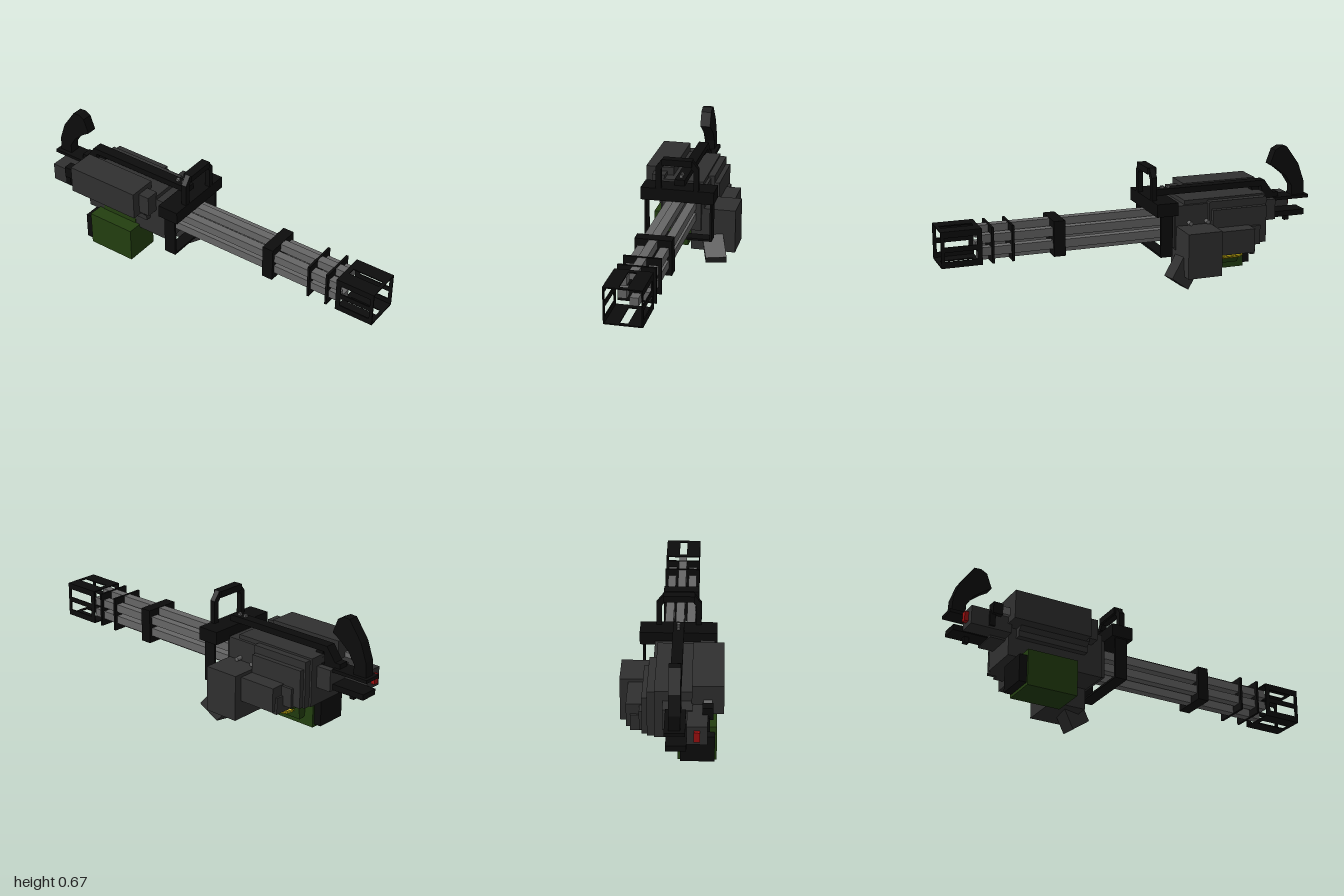
import * as THREE from 'three';
import { ConvexGeometry } from 'three/addons/geometries/ConvexGeometry.js';

const mat = (name, color) => {
  const m = new THREE.MeshStandardMaterial({ color });
  m.name = name;
  return m;
};

export function createModel() {
  const model = new THREE.Group();
  model.name = 'rotaryGun';
  const black = mat('black', 0x0c0c0c), grey = mat('dark grey', 0x303030);
  const steel = mat('steel', 0x666666), green = mat('green', 0x233f10);
  const brass = mat('brass', 0xd0b810), red = mat('red', 0xa01010);

  const add = (name, geo, m, parent = model) => {
    const mesh = new THREE.Mesh(geo, m);
    mesh.name = name;
    parent.add(mesh);
    return mesh;
  };
  // Box given by its extents on each axis
  const box = (name, m, x0, x1, y0, y1, z0, z1) => {
    const mesh = add(name, new THREE.BoxGeometry(x1 - x0, y1 - y0, z1 - z0), m);
    mesh.position.set((x0 + x1) / 2, (y0 + y1) / 2, (z0 + z1) / 2);
    return mesh;
  };
  const poly = (pts) => new THREE.Shape(pts.map(([x, y]) => new THREE.Vector2(x, y)));
  const extrude = (shape, depth) => new THREE.ExtrudeGeometry(shape, { depth, bevelEnabled: false });
  const rect = (a, b, c, d) => [[a, c], [b, c], [b, d], [a, d]];

  // Barrel cluster
  const cx = -0.031, cy = 0.313, s = 0.0215;
  [[0, 0.067], [0.056, 0.033], [0.056, -0.032], [0, -0.067], [-0.056, -0.032], [-0.056, 0.033]]
    .forEach(([x, y], i) => box('barrel' + (i + 1), steel,
      cx + x - s, cx + x + s, cy + y - s, cy + y + s, -0.22, 0.8));
  [[0.37, 0.43], [0.632, 0.644], [0.735, 0.747]].forEach(([a, b], i) =>
    box('barrelClamp' + (i + 1), black, cx - 0.093, cx + 0.093, cy - 0.091, cy + 0.091, a, b));

  // Muzzle cage: four thin slotted plates, drawn as (width, z)
  const cagePlate = (half, slots) => {
    const shape = poly(rect(-half, half, 0.795, 1));
    slots.forEach(([a, b]) => shape.holes.push(poly(rect(a, b, 0.82, 0.982))));
    return extrude(shape, 0.006).rotateX(Math.PI / 2);
  };
  for (const side of [-1, 1]) {
    const flat = add('cagePlate', cagePlate(0.093, [[-0.02, 0.02]]), black);
    flat.position.set(cx, cy + side * 0.089 + 0.003, 0);
    const wall = add('cageWall', cagePlate(0.09, [[-0.06, -0.013], [0.013, 0.06]]), black);
    wall.rotation.z = Math.PI / 2;
    wall.position.set(cx + side * 0.09 - 0.003, cy, 0);
  }

  // Front guard frame and carry handle
  box('guardBeam', black, -0.223, 0.162, 0.4, 0.467, -0.195, -0.08);
  box('guardPost', black, -0.21, -0.198, 0.184, 0.4, -0.17, -0.105);
  box('guardPost', black, 0.137, 0.148, 0.184, 0.4, -0.17, -0.105);
  box('guardBottom', black, -0.21, 0.148, 0.184, 0.195, -0.17, -0.105);
  const handle = poly([[-0.143, 0.46], [-0.115, 0.46], [-0.115, 0.572], [-0.098, 0.595], [0.038, 0.595],
    [0.055, 0.572], [0.055, 0.46], [0.082, 0.46], [0.082, 0.585], [0.047, 0.63], [-0.108, 0.63], [-0.143, 0.585]]);
  add('carryHandle', extrude(handle, 0.028), black).position.z = -0.109;
  box('handleBar', black, -0.108, 0.047, 0.597, 0.63, -0.12, -0.072);

  // Receiver
  box('barrelMount', grey, -0.135, 0.073, 0.205, 0.405, -0.25, -0.19);
  box('receiverFront', grey, -0.147, 0.085, 0.197, 0.428, -0.4, -0.21);
  box('receiverRear', grey, -0.147, 0.07, 0.2, 0.45, -0.72, -0.265);
  box('receiverSide', grey, 0.06, 0.105, 0.2, 0.44, -0.71, -0.39);
  box('receiverStep', grey, 0.06, 0.13, 0.205, 0.4, -0.7, -0.4);
  box('sideCap', grey, 0.06, 0.145, 0.2, 0.3, -0.66, -0.5);
  const wedge = poly([[-0.108, 0.4], [0.047, 0.4], [0.037, 0.42], [-0.098, 0.42]]);
  add('mountWedge', extrude(wedge, 0.06), grey).position.z = -0.24;
  for (const z of [-0.285, -0.38]) {
    const stud = add('sideStud', new THREE.CylinderGeometry(0.011, 0.011, 0.04, 8).rotateZ(Math.PI / 2), steel);
    stud.position.set(0.095, 0.336, z);
  }

  // Motor housing with rear stem and lever
  box('motorHousing', grey, -0.255, -0.105, 0.345, 0.493, -0.74, -0.33);
  box('motorFront', grey, -0.21, -0.14, 0.36, 0.47, -0.34, -0.27);
  const gusset = poly([[-0.2, 0.4], [-0.2, 0.345], [-0.178, 0.325], [-0.178, 0.295], [-0.14, 0.295], [-0.14, 0.4]]);
  add('motorGusset', extrude(gusset, 0.37), grey).position.z = -0.68;
  box('leverStem', steel, -0.2, -0.16, 0.38, 0.42, -0.785, -0.73);
  box('leverKnob', black, -0.205, -0.155, 0.37, 0.43, -0.83, -0.78);
  box('lever', black, -0.19, -0.17, 0.31, 0.385, -0.84, -0.81);

  // Feed block, feed cover and ejection chute
  box('feedBlock', grey, 0.015, 0.252, 0.087, 0.322, -0.4, -0.215);
  box('feedCover', grey, 0.05, 0.21, 0.18, 0.305, -0.6, -0.4);
  box('feedWall', grey, 0.05, 0.19, 0.165, 0.25, -0.61, -0.585);
  const end = [[0.11, 0.075, -0.14], [0.222, 0.09, -0.14], [0.203, 0.017, -0.235], [0.09, 0.002, -0.24]]
    .map((p) => new THREE.Vector3(...p));
  const back = end.map((p) => p.clone().add(new THREE.Vector3(-0.04, 0.11, -0.085)));
  add('ejectionChute', new ConvexGeometry([...end, ...back]), grey);

  // Ammunition box, belt chute and belt
  box('ammoBox', green, -0.225, -0.038, 0.03, 0.215, -0.65, -0.385);
  box('ammoLid', green, -0.15, -0.05, 0.2, 0.25, -0.62, -0.41);
  box('ammoPad', black, -0.215, -0.05, 0.045, 0.185, -0.69, -0.65);
  const chute = box('beltChute', green, -0.055, 0.008, 0.075, 0.175, -0.6, -0.4);
  chute.rotation.z = -0.15;
  box('chuteNeck', green, -0.02, 0.06, 0.145, 0.18, -0.6, -0.4);
  const belt = new THREE.QuadraticBezierCurve3(new THREE.Vector3(0.005, 0.118, 0),
    new THREE.Vector3(0.09, 0.108, 0), new THREE.Vector3(0.15, 0.18, 0));
  for (let i = 0; i < 9; i++) {
    const round = new THREE.Group();
    round.name = 'cartridge' + (i + 1);
    round.position.copy(belt.getPoint(i / 8));
    add('case', new THREE.CylinderGeometry(0.009, 0.009, 0.11, 6).rotateX(Math.PI / 2), brass, round).position.z = -0.515;
    add('tip', new THREE.CylinderGeometry(0.003, 0.007, 0.04, 6).rotateX(Math.PI / 2), brass, round).position.z = -0.44;
    model.add(round);
  }

  // Top rail
  box('topRail', black, -0.058, -0.003, 0.468, 0.5, -0.75, -0.14);
  box('railFoot', black, -0.05, -0.011, 0.43, 0.47, -0.72, -0.68);
  const slope = poly([[0.73, 0.5], [0.75, 0.5], [0.8, 0.43], [0.83, 0.43], [0.83, 0.4], [0.74, 0.4]]);
  const railEnd = add('railEnd', extrude(slope, 0.055).rotateY(Math.PI / 2), black);
  railEnd.position.x = -0.058;
  for (const z of [-0.18, -0.215]) box('railStud', steel, -0.038, -0.022, 0.495, 0.512, z - 0.008, z + 0.008);

  // Rear grip, profile as (rearward, up)
  box('gripPlate', black, -0.08, 0.016, 0.388, 0.405, -1, -0.8);
  box('gripArm', black, -0.058, -0.003, 0.385, 0.405, -0.82, -0.72);
  box('lowerPlate', black, -0.085, 0.01, 0.295, 0.325, -0.98, -0.79);
  box('trigger', black, -0.045, -0.02, 0.265, 0.3, -0.905, -0.88);
  const grip = poly([[0.91, 0.4], [0.91, 0.455], [0.875, 0.51], [0.82, 0.555], [0.78, 0.58],
    [0.808, 0.655], [0.84, 0.672], [0.875, 0.67], [0.945, 0.572], [0.978, 0.48], [0.982, 0.4]]);
  add('rearGrip', extrude(grip, 0.055).rotateY(Math.PI / 2), black).position.x = -0.058;

  // Rear control box with red button
  box('rearBlock', grey, -0.11, 0.03, 0.29, 0.4, -0.8, -0.7);
  box('controlBox', grey, -0.18, -0.085, 0.3, 0.395, -0.93, -0.72);
  box('redButton', red, -0.146, -0.118, 0.325, 0.375, -0.95, -0.925);
  return model;
}
